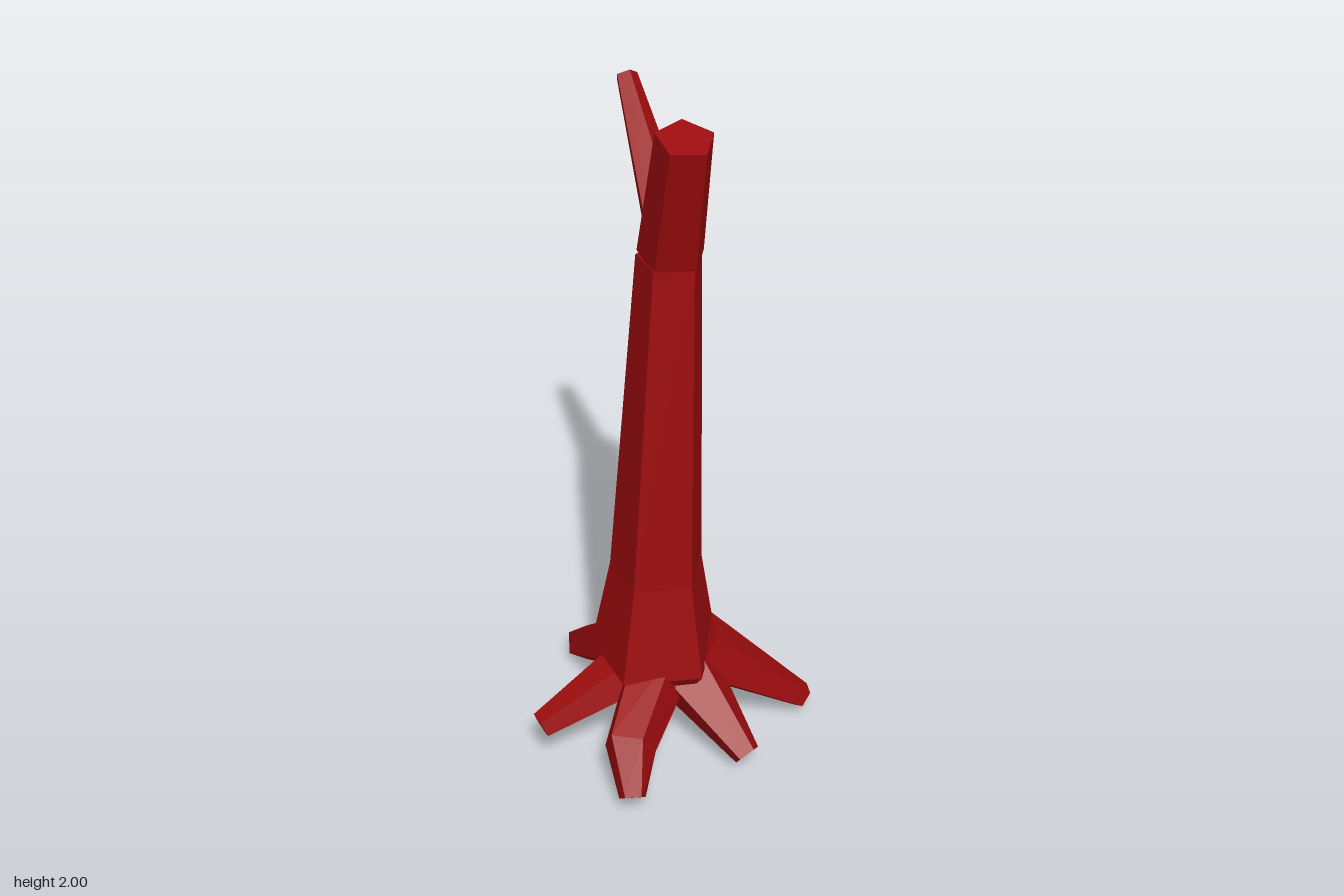
import * as THREE from 'three';

const SIDES = 5;
const UP = new THREE.Vector3(0, 1, 0);
const RIGHT = new THREE.Vector3(1, 0, 0);
const bark = new THREE.MeshStandardMaterial({ color: 0x9c0c0e, flatShading: true });

// Closed five-sided limb through stations [x, y, z, radius].
// ref is the direction of corner 0, turned by phase; normal fixes the ring planes.
function limb(name, stations, { ref = UP, phase = 0, normal = null } = {}) {
  const centres = stations.map(([x, y, z]) => new THREE.Vector3(x, y, z));
  const last = centres.length - 1;
  const positions = [];
  const index = [];
  centres.forEach((c, i) => {
    const n = normal ? normal.clone()
      : centres[Math.min(i + 1, last)].clone().sub(centres[Math.max(i - 1, 0)]).normalize();
    const u = ref.clone().addScaledVector(n, -ref.dot(n)).normalize();
    const v = n.clone().cross(u);
    for (let k = 0; k < SIDES; k++) {
      const a = phase + (k / SIDES) * Math.PI * 2;
      const p = c.clone()
        .addScaledVector(u, Math.cos(a) * stations[i][3])
        .addScaledVector(v, Math.sin(a) * stations[i][3]);
      positions.push(p.x, p.y, p.z);
    }
  });
  for (let i = 0; i < last; i++) {
    for (let k = 0; k < SIDES; k++) {
      const a = i * SIDES + k;
      const b = i * SIDES + ((k + 1) % SIDES);
      index.push(a, b, b + SIDES, a, b + SIDES, a + SIDES);
    }
  }
  // End caps
  const top = last * SIDES;
  for (let k = 1; k < SIDES - 1; k++) {
    index.push(0, k + 1, k, top, top + k, top + k + 1);
  }
  const indexed = new THREE.BufferGeometry();
  indexed.setAttribute('position', new THREE.Float32BufferAttribute(positions, 3));
  indexed.setIndex(index);
  const geometry = indexed.toNonIndexed();
  geometry.computeVertexNormals();
  const mesh = new THREE.Mesh(geometry, bark);
  mesh.name = name;
  return mesh;
}

export function createModel() {
  const tree = new THREE.Group();
  tree.name = 'bareTree';

  // Trunk, flared at the foot and tapering to the fork
  tree.add(limb('trunk', [
    [-0.02, 0.13, 0.04, 0.07],
    [-0.035, 0.3, 0.04, 0.195],
    [-0.031, 0.6, 0.045, 0.141],
    [0.006, 1.6, 0.045, 0.094],
  ], { ref: RIGHT, normal: UP }));

  // Fork: a thick stub leaning forward and a thin branch reaching back
  tree.add(limb('thickBranch', [
    [0.01, 1.6, 0.045, 0.095],
    [0, 1.982, 0.145, 0.08],
  ], { ref: RIGHT }));
  tree.add(limb('thinBranch', [
    [0.02, 1.635, 0.015, 0.074],
    [0.053, 1.965, -0.33, 0.031],
  ], { phase: 0.1 }));

  // Roots spreading around the foot
  const flat = Math.PI / SIDES; // a face, not an edge, on top
  const roots = [
    ['rightRoot', flat, [[-0.03, 0.29, 0.035, 0.1], [-0.41, 0.14, 0.042, 0.041]]],
    ['frontRightRoot', flat, [[-0.05, 0.27, 0.08, 0.1], [-0.23, 0.18, 0.275, 0.078], [-0.265, 0.07, 0.37, 0.04]]],
    ['frontRoot', 0, [[0.03, 0.25, 0.11, 0.105], [0.12, 0.065, 0.34, 0.042]]],
    ['leftRoot', flat, [[0.08, 0.3, 0.075, 0.11], [0.4, 0.06, 0.165, 0.04]]],
    ['backLeftRoot', flat, [[0.05, 0.29, 0.0, 0.1], [0.195, 0.035, -0.185, 0.045]]],
    ['backRoot', flat, [[-0.06, 0.27, -0.05, 0.1], [-0.1, 0.055, -0.37, 0.056]]],
  ];
  for (const [name, phase, stations] of roots) tree.add(limb(name, stations, { phase }));

  return tree;
}
